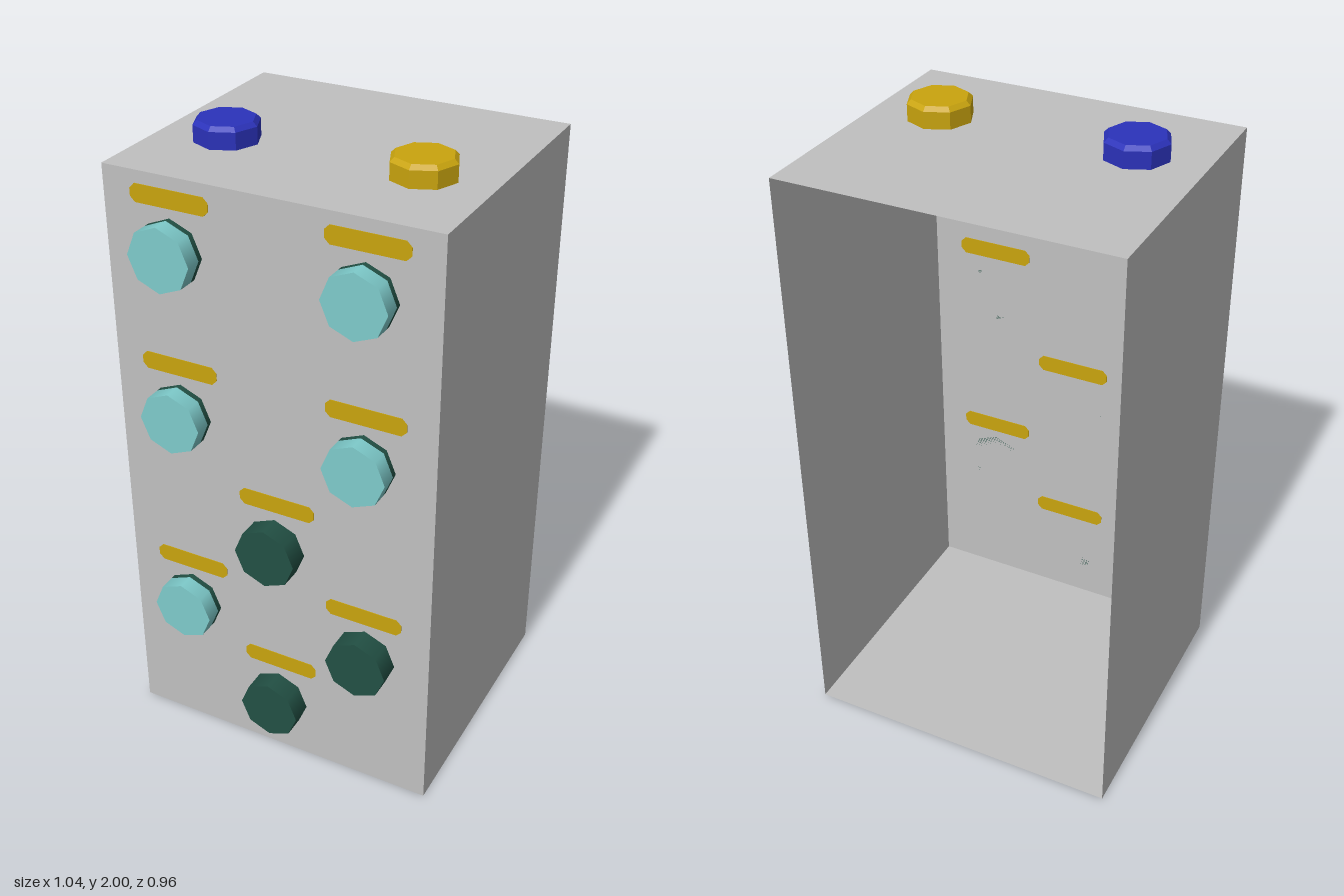
import * as THREE from 'three';

const paint = (name, color, extra = {}) => {
  const m = new THREE.MeshStandardMaterial({ color, ...extra });
  m.name = name;
  return m;
};

export function createModel() {
  const model = new THREE.Group();
  model.name = 'controlBox';
  const grey = paint('casingGrey', 0xc0c0c0, { side: THREE.DoubleSide });
  const gold = paint('gold', 0xc9a40e);
  const aqua = paint('aqua', 0x7ecbcb);
  const green = paint('darkGreen', 0x225044);
  const blue = paint('blue', 0x2b32ba);
  const FRONT = 0.41, TOP = 1.935;

  const add = (name, geometry, material, x, y, z) => {
    const mesh = new THREE.Mesh(geometry, material);
    mesh.name = name;
    mesh.position.set(x, y, z);
    model.add(mesh);
  };

  // Sheet casing: a box whose back face (the last six indices) is left open
  const casing = new THREE.BoxGeometry(1.04, TOP, 0.89);
  casing.setIndex(Array.from(casing.index.array).slice(0, 30));
  casing.clearGroups();
  add('casing', casing, grey, 0, TOP / 2, -0.035);

  // Eight-sided disc facing forward, its back at z = 0
  const disc = (depth) =>
    new THREE.CylinderGeometry(0.1, 0.1, depth, 8).rotateX(Math.PI / 2).translate(0, 0, depth / 2);
  const knobBase = disc(0.018), lampCap = disc(0.052), fullKnob = disc(0.07);

  // Lamps: aqua cap on a dark base
  for (const [x, y] of [[-0.307, 1.712], [0.295, 1.712], [-0.307, 1.187], [0.295, 1.187], [-0.307, 0.49]]) {
    add('lampBase', knobBase, green, x, y, FRONT);
    add('lampCap', lampCap, aqua, x, y, FRONT + 0.018);
  }

  // Dark knobs
  for (const [x, y] of [[0, 0.802], [0.306, 0.49], [0, 0.198]]) add('knob', fullKnob, green, x, y, FRONT);

  // Label strips with clipped corners, showing on both sides of the front sheet
  const w = 0.126, h = 0.028, c = 0.016;
  const outline = new THREE.Shape([
    [-w + c, -h], [w - c, -h], [w, -h + c], [w, h - c],
    [w - c, h], [-w + c, h], [-w, h - c], [-w, -h + c],
  ].map(([x, y]) => new THREE.Vector2(x, y)));
  const strip = new THREE.ExtrudeGeometry(outline, { depth: 0.004, bevelEnabled: false }).translate(0, 0, -0.002);
  for (const [x, y] of [
    [-0.305, 1.868], [0.3, 1.868], [-0.305, 1.345], [0.3, 1.345],
    [0.009, 0.959], [-0.302, 0.645], [0.3, 0.645], [0.009, 0.355],
  ]) add('labelStrip', strip, gold, x, y, FRONT);

  // Bevelled eight-sided buttons on the top
  const profile = [[0.1, 0], [0.1, 0.052], [0.087, 0.065], [0, 0.065]].map(([r, y]) => new THREE.Vector2(r, y));
  const button = new THREE.LatheGeometry(profile, 8).toNonIndexed();
  button.computeVertexNormals();
  add('blueButton', button, blue, -0.309, TOP, 0.09);
  add('goldButton', button, gold, 0.309, TOP, 0.09);

  return model;
}
